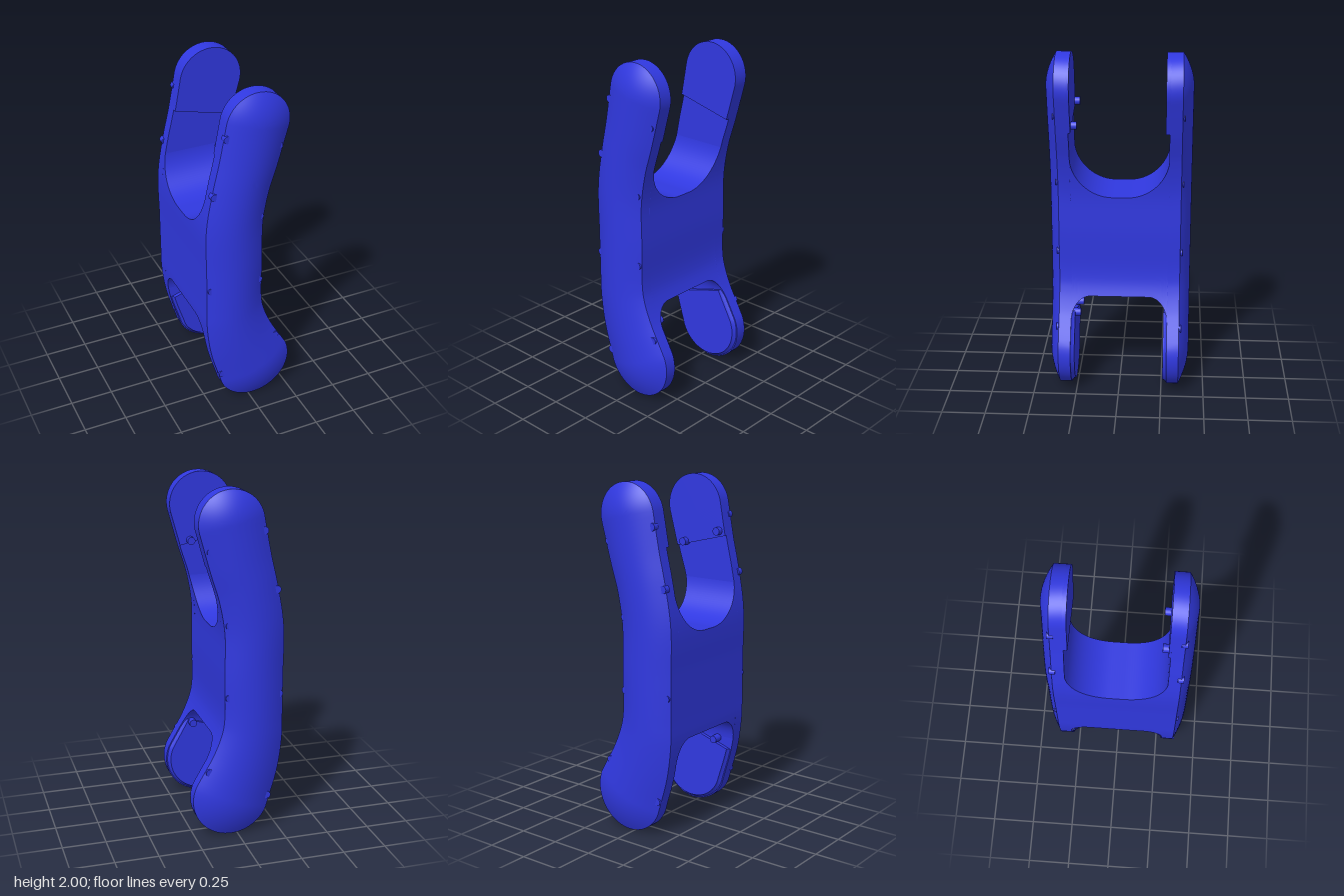
import * as THREE from 'three';
import { toCreasedNormals } from 'three/addons/utils/BufferGeometryUtils.js';

// centre line of the side plates: x, y and half width
const spine = new THREE.CatmullRomCurve3([
  [0.035, 1.815, 0.185], [-0.015, 1.6, 0.176], [-0.06, 1.43, 0.17], [-0.095, 1.22, 0.17], [-0.095, 0.95, 0.17],
  [-0.095, 0.7, 0.17], [-0.085, 0.58, 0.18], [-0.045, 0.42, 0.2], [0.035, 0.225, 0.225],
].map(p => new THREE.Vector3(...p)));

// spine frame: middle, half width, direction along the plate and towards its -x edge
function frame(t) {
  const m = spine.getPoint(t), d = spine.getTangent(t), l = Math.hypot(d.x, d.y);
  return { x: m.x, y: m.y, r: m.z, tx: d.x / l, ty: d.y / l };
}

// point on the outline at angle a around a frame, scaled by k towards the spine
function rim(f, a, k) {
  const c = Math.cos(a) * f.r * k, s = Math.sin(a) * f.r * k;
  return [f.x + c * f.ty + s * f.tx, f.y - c * f.tx + s * f.ty];
}

// counter-clockwise outline of the stretch t0..t1, with optional round ends
function outline(t0, t1, roundTop, roundBottom, k, z) {
  const pts = [], n = 60, caps = 28;
  const add = (t, a) => pts.push([...rim(frame(t), a, k), z]);
  for (let i = 0; i <= n; i++) add(t0 + (t1 - t0) * i / n, 0);
  if (roundBottom) for (let i = 1; i < caps; i++) add(t1, Math.PI * i / caps);
  for (let i = n; i >= 0; i--) add(t0 + (t1 - t0) * i / n, Math.PI);
  if (roundTop) for (let i = 1; i < caps; i++) add(t0, Math.PI * (1 + i / caps));
  return pts;
}

// skin over a row of closed loops running towards +z
function loft(loops) {
  const n = loops[0].length, index = [];
  for (let i = 0; i + 1 < loops.length; i++) {
    for (let j = 0; j < n; j++) {
      const a = i * n + j, b = i * n + (j + 1) % n;
      index.push(a, b, b + n, a, b + n, a + n);
    }
  }
  const g = new THREE.BufferGeometry();
  g.setAttribute('position', new THREE.Float32BufferAttribute(loops.flat(2), 3));
  g.setIndex(index);
  return toCreasedNormals(g, 0.6);
}

// x of the plate edge at height y; a = 0 for the -x edge, PI for the +x edge
function edgeX(y, a) {
  let lo = 0, hi = 1;
  for (let i = 0; i < 24; i++) {
    const mid = (lo + hi) / 2;
    if (rim(frame(mid), a, 1)[1] > y) lo = mid; else hi = mid;
  }
  return rim(frame(lo), a, 1)[0];
}

export function createModel() {
  const model = new THREE.Group();
  const material = new THREE.MeshStandardMaterial({ color: 0x3038e0 });
  const add = (parent, name, geometry) => {
    const mesh = new THREE.Mesh(geometry, material);
    mesh.name = name;
    parent.add(mesh);
    return mesh;
  };
  const peg = (parent, name, x, y, z0, z1, r) => {
    const g = new THREE.CylinderGeometry(r, r, z1 - z0, 20).rotateX(Math.PI / 2);
    add(parent, name, g).position.set(x, y, (z0 + z1) / 2);
  };

  // plate: flat inside, straight rim, domed outside
  const rings = [[0, 0.28], [1, 0.28], [1, 0.35]];
  for (let i = 1; i <= 10; i++) {
    const k = 1 - i / 10;
    rings.push([k, 0.35 + 0.06 * (1 - k * k)]);
  }
  const plate = loft(rings.map(([k, z]) => outline(0, 1, true, true, k, z)));
  const screws = [[-0.145, 1.77], [0.155, 1.67], [-0.22, 1.44], [0.05, 1.255],
    [0.05, 0.835], [-0.24, 0.835], [0.165, 0.4], [-0.175, 0.22]];

  for (const side of [1, -1]) {
    const half = new THREE.Group();
    half.name = side > 0 ? 'frontSide' : 'backSide';
    half.scale.z = side;
    model.add(half);
    add(half, 'sidePlate', plate);

    // raised pads on the inner face of both ends
    const top = side > 0 ? 0.268 : 0.259;
    add(half, 'upperPad', loft([[0, top], [1, top], [1, 0.285]]
      .map(([k, z]) => outline(0, 0.117, true, false, k, z))));
    add(half, 'lowerPad', loft([[0, 0.258], [0.9, 0.258], [0.92, 0.27], [0.96, 0.277], [1, 0.29]]
      .map(([k, z]) => outline(0.87, 1, false, true, k, z))));

    // small studs along the rim
    for (const [x, y] of screws) peg(half, 'rimStud', x, y, 0.33, 0.364, 0.022);

    // locating pegs on the inside of one plate only
    if (side > 0) {
      for (const [x, y] of [[-0.14, 1.68], [0.1, 1.6]]) peg(half, 'upperPeg', x, y, 0.236, 0.3, 0.023);
      for (const [x, y] of [[0.1, 0.465], [-0.14, 0.425]]) peg(half, 'lowerPeg', x, y, 0.226, 0.3, 0.023);
    }
  }

  // web joining the plates, flaring in fillets above and below
  const flare = (z, flat, width, height) => {
    const u = Math.min(1, Math.max(0, (Math.abs(z) - flat) / width));
    return height * (1 - Math.sqrt(1 - u * u));
  };
  const loops = [], steps = 64, rows = 24;
  for (let i = 0; i <= steps; i++) {
    const z = 0.282 * Math.sin((i / steps - 0.5) * Math.PI);
    const yTop = 1.17 + flare(z, 0.04, 0.242, 0.25), yBottom = 0.57 - flare(z, 0.17, 0.11, 0.14);
    const loop = [];
    for (let j = 0; j <= rows; j++) {
      const y = yTop + (yBottom - yTop) * j / rows;
      loop.push([edgeX(y, 0), y, z]);
    }
    for (let j = rows; j >= 0; j--) {
      const y = yTop + (yBottom - yTop) * j / rows;
      loop.push([edgeX(y, Math.PI), y, z]);
    }
    loops.push(loop);
  }
  add(model, 'centreWeb', loft(loops));
  return model;
}
